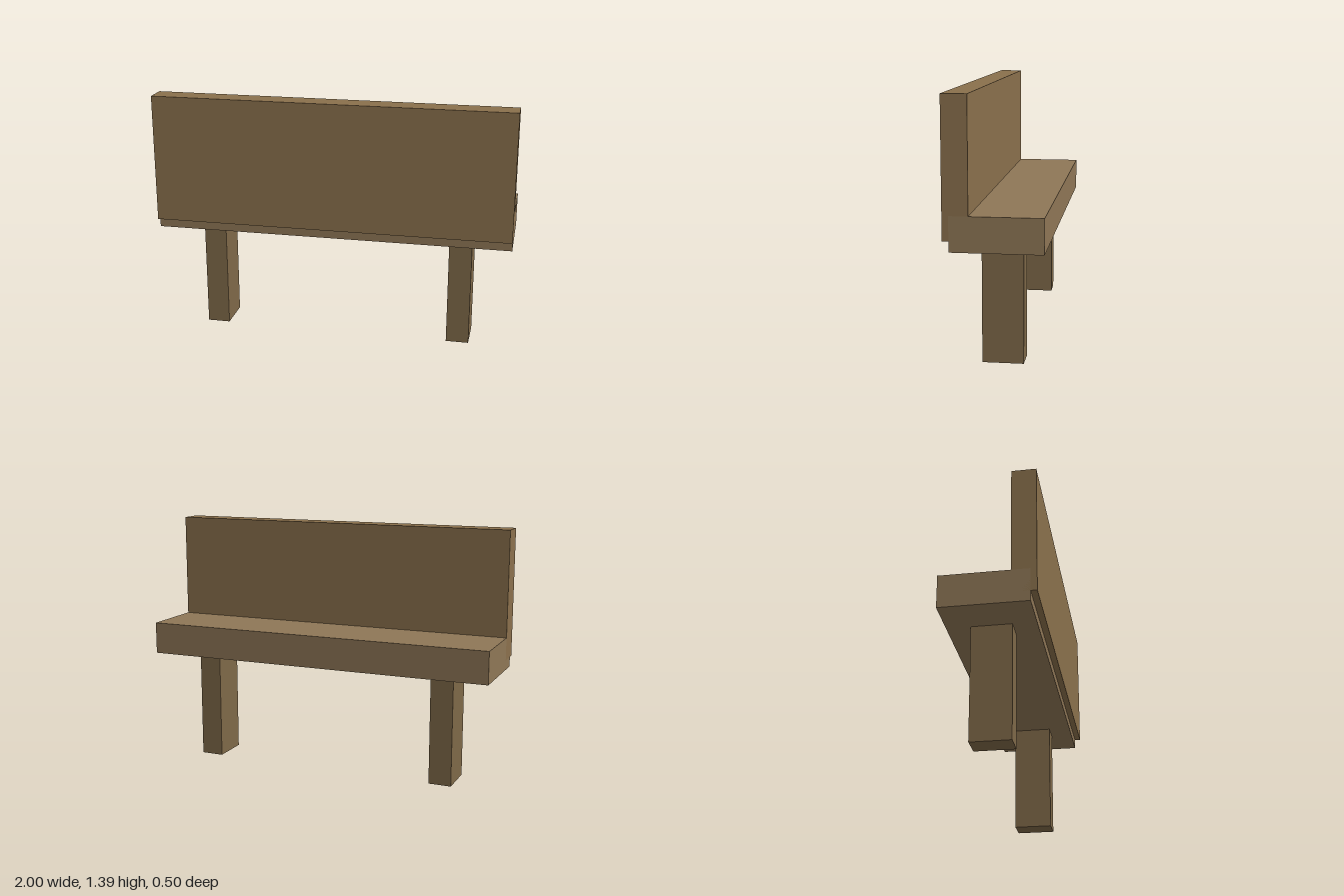
import * as THREE from 'three';

// Box given by its min and max corners
function block(name, color, min, max) {
  const size = max.map((v, i) => v - min[i]);
  const mesh = new THREE.Mesh(
    new THREE.BoxGeometry(...size),
    new THREE.MeshStandardMaterial({ color })
  );
  mesh.position.set(...min.map((v, i) => (v + max[i]) / 2));
  mesh.name = name;
  return mesh;
}

export function createModel() {
  const bench = new THREE.Group();
  bench.name = 'bench';

  // Thick seat plank, with the backrest slab lapping over its +z edge
  bench.add(block('seat', 0x8e7656, [-1, 0.625, -0.25], [1, 0.805, 0.217]));
  bench.add(block('backrest', 0x8a704c, [-1, 0.68, 0.12], [1, 1.393, 0.25]));

  // One post leg near each end
  for (const [side, x] of [['left', 0.713], ['right', -0.713]]) {
    bench.add(block(side + 'Leg', 0x7e6848, [x - 0.064, 0, -0.122], [x + 0.064, 0.625, 0.092]));
  }
  return bench;
}
